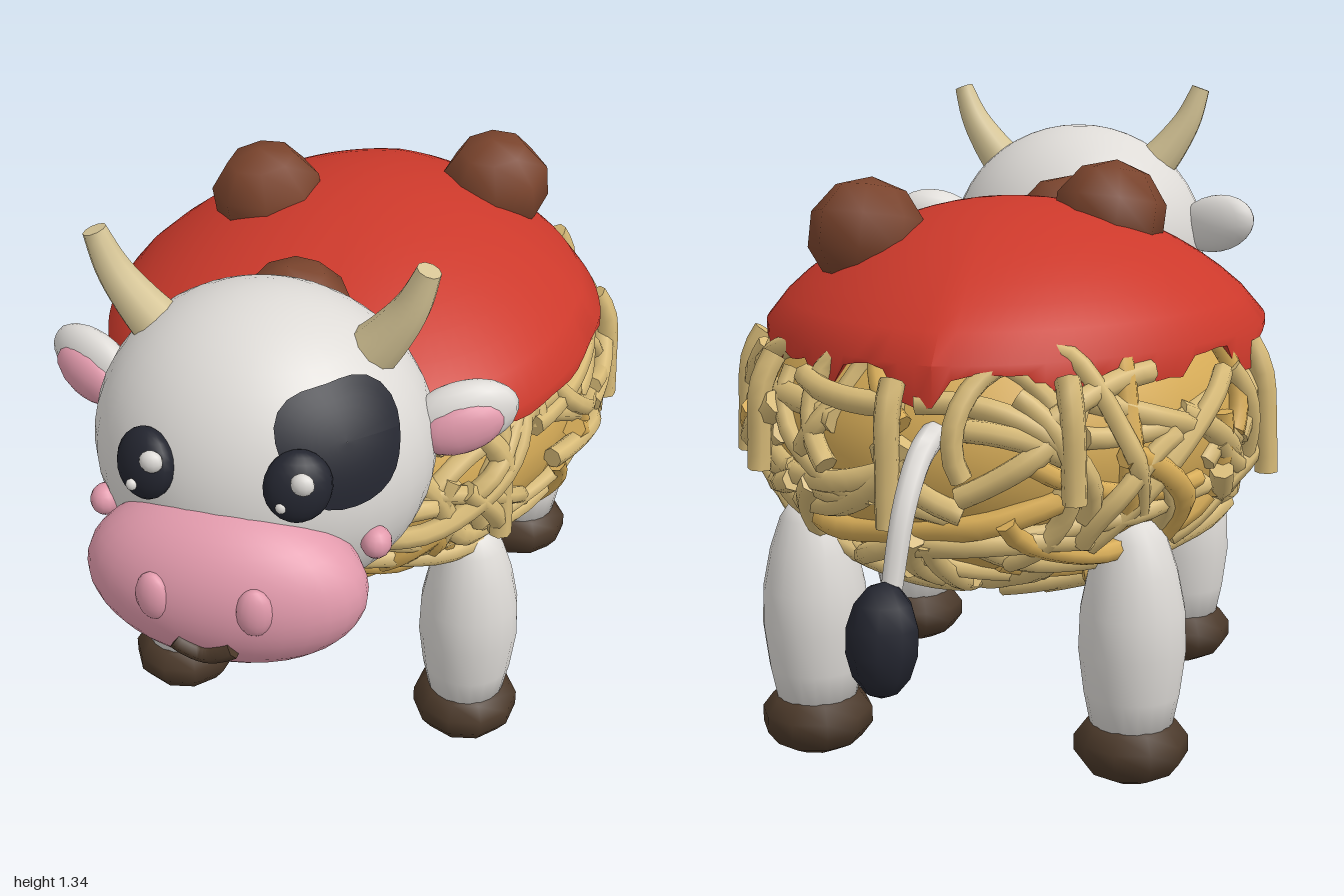
import * as THREE from 'three';
import { toCreasedNormals } from 'three/addons/utils/BufferGeometryUtils.js';

const V = (x, y, z) => new THREE.Vector3(x, y, z);
const mat = (name, color) => {
  const m = new THREE.MeshStandardMaterial({ color });
  m.name = name;
  return m;
};

export function createModel() {
  const root = new THREE.Group();
  root.name = 'pastaCow';
  const white = mat('white hide', 0xdedbd7), pink = mat('pink skin', 0xe29aac);
  const dark = mat('dark patch', 0x23252f), hoofBrown = mat('hoof brown', 0x4a3829);
  const meat = mat('meatball brown', 0x7a442d), red = mat('tomato red', 0xcc392b);
  const noodle = mat('noodle tan', 0xd8bb78), pasta = mat('pasta gold', 0xd8ad58);
  const brass = mat('bell yellow', 0xd0a92e), horn = mat('horn cream', 0xd6c596);

  let seed = 11;
  const rnd = () => {
    seed = (seed * 16807) % 2147483647;
    return seed / 2147483647;
  };
  const between = (a, b) => a + (b - a) * rnd();

  function add(name, geo, material, parent = root) {
    const m = new THREE.Mesh(geo, material);
    m.name = name;
    parent.add(m);
    return m;
  }
  // Ellipsoid: position, radii, rotation
  function ball(name, material, p, r, rot = [0, 0, 0], w = 24, h = 16, parent = root) {
    const m = add(name, new THREE.SphereGeometry(1, w, h).scale(...r), material, parent);
    m.position.set(...p);
    m.rotation.set(...rot);
    return m;
  }
  // Capped tube whose radius runs from r0 to r1
  function sweep(points, r0, r1, segs = 12, sides = 7) {
    const curve = new THREE.CatmullRomCurve3(points);
    const g = new THREE.TubeGeometry(curve, segs, 1, sides);
    const pos = g.attributes.position, p = V(), c = V();
    for (let i = 0; i <= segs; i++) {
      const end = i === 0 || i === segs;
      curve.getPointAt(i / segs, c);
      const capCentre = curve.getPointAt(Math.min(Math.max(i, 1), segs - 1) / segs);
      for (let j = 0; j <= sides; j++) {
        const k = i * (sides + 1) + j;
        p.fromBufferAttribute(pos, k).sub(c).multiplyScalar(end ? 0 : r0 + (r1 - r0) * i / segs);
        p.add(capCentre);
        pos.setXYZ(k, p.x, p.y, p.z);
      }
    }
    return toCreasedNormals(g, 1.1);
  }

  // Pasta body and the noodles wound around it
  const C = V(0.005, 0.705, -0.13), R = V(0.513, 0.355, 0.615);
  ball('pastaBody', pasta, C.toArray(), R.toArray(), [0, 0, 0], 32, 20);
  const noodles = new THREE.Group();
  noodles.name = 'noodles';
  root.add(noodles);
  for (let n = 0; n < 165; n++) {
    const y = between(-0.98, 0.44), a = between(0, Math.PI * 2), s = Math.sqrt(1 - y * y);
    const d = V(s * Math.cos(a), y, s * Math.sin(a));
    const t = V(between(-1, 1), between(-0.7, 0.7), between(-1, 1)).cross(d).normalize();
    const turn = between(-0.4, 0.4), lift = between(0.99, 1.045), pts = [];
    const steps = 4 + Math.floor(rnd() * 4);
    for (let i = 0; i < steps; i++) {
      pts.push(d.clone().multiplyScalar(lift + between(-0.015, 0.02)).multiply(R).add(C));
      t.applyAxisAngle(d, turn);
      d.addScaledVector(t, 0.2).normalize();
      if (d.y > 0.48) { d.y = 0.48; d.normalize(); }
      t.addScaledVector(d, -t.dot(d)).normalize();
    }
    const r = between(0.02, 0.028);
    add('noodle', sweep(pts, r, r * 0.9, steps * 2 + 2, 7), n % 6 ? noodle : pasta, noodles);
  }
  // Loose strands hanging from under the sauce
  const hanging = [[0.4, 0.27, 0.53], [-0.4, 0.28, 0.56], [0.54, -0.29, 0.56], [-0.545, -0.2, 0.55],
    [0.08, -0.77, 0.55], [-0.25, -0.7, 0.6], [0.5, 0.0, 0.6], [-0.49, 0.08, 0.58], [0.4, -0.58, 0.6]];
  for (const [x, z, y] of hanging) {
    const pts = [V(x * 0.9, 0.88, z * 0.95), V(x * 0.98, 0.8, z), V(x, 0.68, z), V(x * 1.01, y, z)];
    add('hangingNoodle', sweep(pts, 0.025, 0.024, 10, 7), noodle, noodles);
  }

  // Sauce blanket: a dome with a dripping rim, tucked into the body underneath
  const rows = 14, cols = 96, sauce = new THREE.PlaneGeometry(1, 1, cols, rows);
  const sp = sauce.attributes.position;
  for (let j = 0; j <= rows; j++) {
    for (let i = 0; i <= cols; i++) {
      const a = (i % cols) / cols * Math.PI * 2, sin = Math.sin(a), side = Math.abs(Math.cos(a));
      const wave = 0.01 * Math.sin(a * 9) + 0.008 * Math.sin(a * 17 + 1);
      const step = sin > 0.1 && Math.sin(a * 13 + 0.6) > 0.2 ? 0.04 : 0;
      const r = j <= 12 ? j / 12 : j === 13 ? 1.0 : 0.78;
      const h = j <= 12 ? 0.25 * Math.pow(1 - r * r, 0.84) : j === 13 ? -0.022 - wave - step : 0.02;
      // Narrower towards the tail, fuller at the front corners
      const k = r * (sin > 0 ? 1 - 0.15 * sin * side * r : 1 + 0.2 * sin * sin * side * r);
      sp.setXYZ(j * (cols + 1) + i, 0.002 + 0.53 * k * Math.cos(a), 0.88 + h, -0.14 - 0.605 * k * sin);
    }
  }
  add('sauce', toCreasedNormals(sauce, 0.8), red);

  // Meatballs
  for (const [x, y, z, turn] of [[-0.2, 1.09, -0.1, 0.3], [0.255, 1.065, -0.34, 1], [-0.023, 1.025, 0.29, 0.1]])
    ball('meatball', meat, [x, y, z], [0.122, 0.118, 0.122], [0.12, turn, 0.1], 8, 5);

  // Legs and hooves
  const legProfile = [[0, 0.1], [0.078, 0.1], [0.096, 0.19], [0.107, 0.28], [0.104, 0.36], [0.088, 0.44], [0.066, 0.505], [0.043, 0.538], [0, 0.545]]
    .map(([x, y]) => new THREE.Vector2(x, y));
  for (const x of [0.341, -0.319]) for (const z of [0.24, -0.46]) {
    add('leg', new THREE.LatheGeometry(legProfile, 20), white).position.set(x, 0, z);
    ball('hoof', hoofBrown, [x, 0.078, z], [0.117, 0.075, 0.117], [0, 0.2, 0], 10, 7);
  }
  ball('legPatch', dark, [-0.272, 0.268, 0.334], [0.03, 0.054, 0.01], [0, 0.47, 0], 8, 6);

  // Tail
  add('tail', sweep([V(0, 0.76, -0.7), V(0.01, 0.73, -0.79), V(0.02, 0.65, -0.86), V(0.035, 0.48, -0.91)], 0.026, 0.02, 14, 8), white);
  ball('tailTuft', dark, [0.04, 0.43, -0.932], [0.066, 0.103, 0.066], [0.12, 0, 0], 9, 7);

  // Collar and bell
  const collar = add('collar', new THREE.TorusGeometry(0.172, 0.027, 10, 36), red);
  collar.position.set(0.007, 0.713, 0.485);
  collar.rotation.x = -0.25;
  ball('bell', brass, [0.009, 0.588, 0.655], [0.066, 0.08, 0.066], [0, 0, 0], 16, 12);

  // Head and muzzle
  const head = new THREE.Group();
  head.name = 'headGroup';
  head.position.x = 0.009;
  root.add(head);
  const face = (name, material, p, r, rot, w, h) => ball(name, material, p, r, rot, w, h, head);
  const H = V(0, 0.948, 0.6), HR = V(0.317, 0.297, 0.285);
  face('skull', white, H.toArray(), HR.toArray(), [0, 0, 0], 36, 24);
  face('muzzle', pink, [0, 0.81, 0.845], [0.257, 0.16, 0.142], [0, 0, 0], 32, 20);
  add('mouth', sweep([V(-0.06, 0.757, 0.972), V(-0.035, 0.742, 0.973), V(0, 0.73, 0.971), V(0.035, 0.742, 0.973), V(0.06, 0.757, 0.972)], 0.017, 0.017, 14, 6), hoofBrown, head);

  // Eye patch hugging the head
  const patch = new THREE.RingGeometry(0.001, 1, 28, 6), pp = patch.attributes.position;
  const n = V(0.64, 0.45, 0.64).normalize(), u = V(0, 1, 0).cross(n).normalize(), v = n.clone().cross(u);
  for (let i = 0; i < pp.count; i++) {
    const x = pp.getX(i), y = pp.getY(i), a = Math.atan2(y, x);
    const s = 0.415 + 0.02 * Math.sin(2 * a + 0.4) + 0.025 * Math.sin(3 * a) - 0.02 * Math.cos(4 * a);
    const d = n.clone().addScaledVector(u, x * s).addScaledVector(v, y * s).normalize();
    d.multiplyScalar(1.015).multiply(HR).add(H);
    pp.setXYZ(i, d.x, d.y, d.z);
  }
  patch.computeVertexNormals();
  add('eyePatch', patch, dark, head);

  // Mirrored features of the face
  for (const s of [1, -1]) {
    face('eye', dark, [s * 0.136, 1.025, 0.85], [0.06, 0.065, 0.036], [-0.25, s * 0.4, 0], 18, 12);
    face('nostril', pink, [s * 0.091, 0.835, 0.967], [0.033, 0.048, 0.022], [0, s * 0.2, 0], 14, 10);
    face('cheek', pink, [s * 0.253, 0.874, 0.77], [0.028, 0.03, 0.03], [0, 0, 0], 14, 10);
    face('ear', white, [s * 0.355, 1.012, 0.54], [0.105, 0.069, 0.042], [0, s * 0.4, s * 0.22], 16, 12);
    face('innerEar', pink, [s * 0.36, 1.0, 0.564], [0.08, 0.051, 0.032], [0, s * 0.4, s * 0.3], 14, 10);
    add('horn', sweep([V(s * 0.185, 1.14, 0.6), V(s * 0.23, 1.195, 0.605), V(s * 0.272, 1.26, 0.61), V(s * 0.307, 1.352, 0.615)], 0.053, 0.02, 14, 10), horn, head);
  }
  for (const x of [-0.112, 0.154]) {
    face('eyeShine', white, [x, 1.053, 0.884], [0.021, 0.021, 0.015], [0, 0, 0], 12, 8);
    face('eyeGlint', white, [x - 0.037, 1.003, 0.889], [0.01, 0.011, 0.008], [0, 0, 0], 12, 8);
  }
  return root;
}
